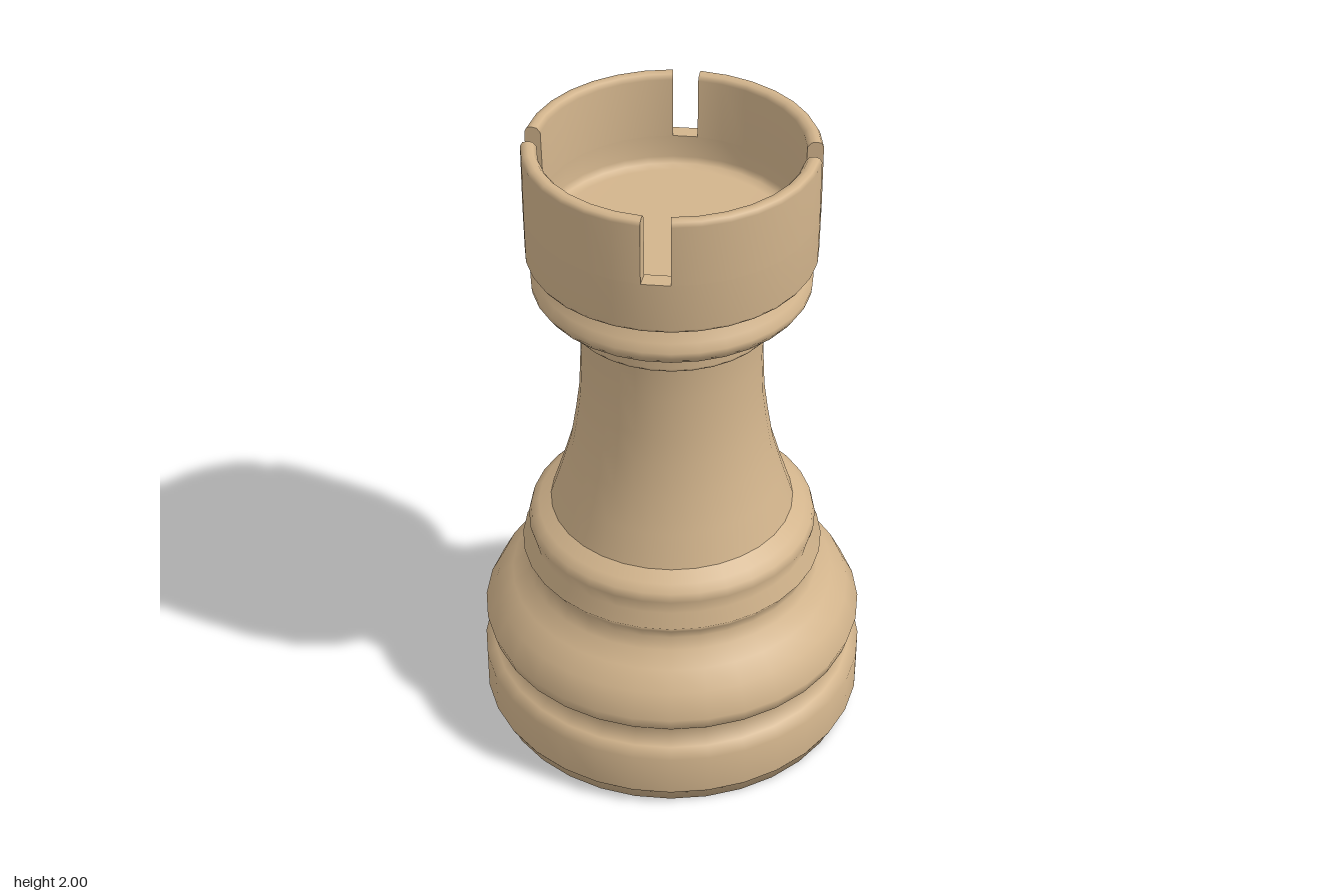
import * as THREE from 'three';

const SIDES = 32;
const STEP = (Math.PI * 2) / SIDES;

export function createModel() {
  const group = new THREE.Group();
  const wood = new THREE.MeshStandardMaterial({ color: 0xd2b48c });
  wood.name = 'tan wood';

  const add = (name, geometry, parent = group) => {
    const mesh = new THREE.Mesh(geometry, wood);
    mesh.name = name;
    parent.add(mesh);
    return mesh;
  };
  const vec = (pts) => pts.map(([r, y]) => new THREE.Vector2(r, y));
  const turn = (name, pts, parent = group, sides = SIDES, start = 0, arc = Math.PI * 2) =>
    add(name, new THREE.LatheGeometry(vec(pts), sides, start, arc), parent);

  // Stepped foot and base
  turn('foot', [[0, 0], [0.566, 0], [0.568, 0.045], [0.59, 0.05]]);
  turn('base', [[0.59, 0.05], [0.595, 0.06], [0.595, 0.19], [0.565, 0.215], [0.525, 0.25],
    [0.575, 0.3], [0.588, 0.345], [0.55, 0.42], [0.5, 0.47], [0.455, 0.51], [0.442, 0.55],
    [0.445, 0.575], [0.463, 0.6], [0.43, 0.635], [0.442, 0.685], [0.435, 0.712],
    [0.41, 0.73], [0.372, 0.755]]);

  // Tapered stem
  turn('stem', [[0.372, 0.755], [0.338, 0.86], [0.306, 0.97], [0.288, 1.08], [0.276, 1.17],
    [0.27, 1.3], [0.272, 1.39], [0.276, 1.435]]);

  // Neck ring and collar
  turn('neckRing', [[0.27, 1.43], [0.308, 1.432], [0.31, 1.44], [0.31, 1.52]]);
  turn('collar', [[0.305, 1.52], [0.392, 1.522], [0.408, 1.545], [0.41, 1.563],
    [0.396, 1.588], [0.375, 1.62], [0.37, 1.64]]);

  // Cup of the turret, up to the bottom of the slots
  const turret = new THREE.Group();
  turret.name = 'turret';
  group.add(turret);
  turn('turretWall', [[0.36, 1.638], [0.415, 1.64], [0.423, 1.652], [0.425, 1.8]], turret);
  turn('slotFloor', [[0.425, 1.8], [0.375, 1.8]], turret);
  turn('turretInside', [[0.375, 1.8], [0.375, 1.73], [0.365, 1.712], [0.34, 1.705], [0, 1.705]], turret);

  // Four battlements with one-side-wide slots between them
  const rim = [[0.425, 1.8], [0.425, 1.985], [0.418, 1.997], [0.405, 2], [0.39, 1.998],
    [0.379, 1.985], [0.375, 1.8]];
  const capAt = (angle, sign) => {
    const shape = new THREE.Shape(rim.map(([r, y]) => new THREE.Vector2(r * sign, y)));
    return new THREE.ShapeGeometry(shape).rotateY(angle - (sign * Math.PI) / 2);
  };
  for (let i = 0; i < 4; i++) {
    const start = (i * Math.PI) / 2 + STEP;
    const end = ((i + 1) * Math.PI) / 2;
    turn('battlement', rim, turret, SIDES / 4 - 1, start, end - start);
    add('slotSide', capAt(start, 1), turret);
    add('slotSide', capAt(end, -1), turret);
  }
  return group;
}
